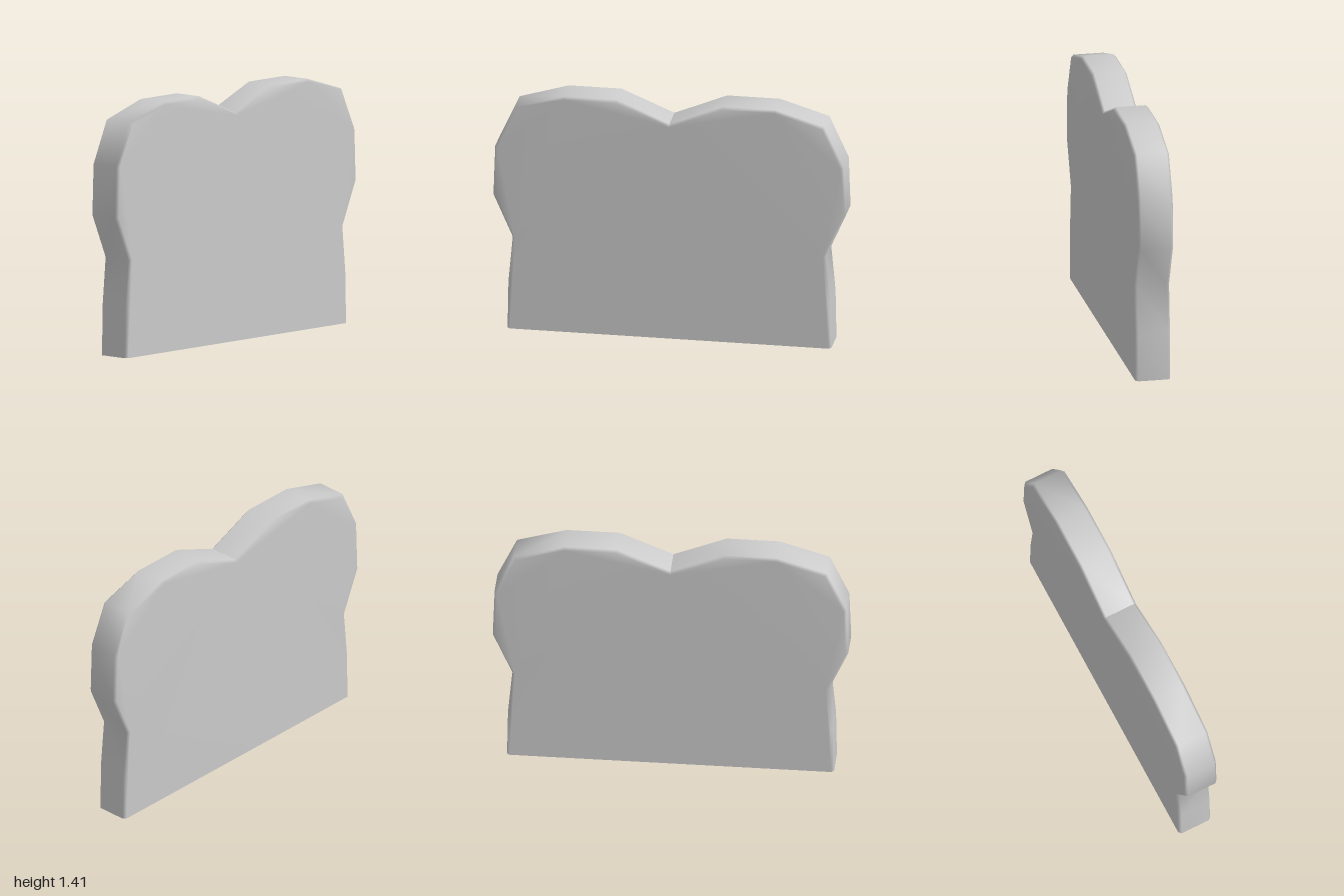
import * as THREE from 'three';

const DEPTH = 0.1;    // half thickness
const BEVEL = 0.015;

// Half outline, from the bottom corner up to the central notch
const OUTLINE = [
  [0.92, 0], [0.915, 0.28], [0.89, 0.55], [1.0, 0.8], [0.99, 1.09],
  [0.88, 1.33], [0.6, 1.415], [0.3, 1.415], [0, 1.29],
].map(([x, y]) => new THREE.Vector2(x, y));

// Move the outline inwards; its ends slide along the floor and the centre line
function inset(points, d) {
  const normal = (a, b) => new THREE.Vector2(b.y - a.y, a.x - b.x).normalize();
  return points.map((p, i) => {
    if (i === 0) return new THREE.Vector2(p.x - d, p.y);
    const before = normal(points[i - 1], p);
    if (i === points.length - 1) return new THREE.Vector2(p.x, p.y - d / before.y);
    const miter = before.clone().add(normal(p, points[i + 1])).normalize();
    return p.clone().addScaledVector(miter, -d / miter.dot(before));
  });
}

// One half of the slab, open underneath; side is 1 (left) or -1 (right)
function halfSlab(side) {
  const inner = inset(OUTLINE, BEVEL);
  const rings = [
    [inner, DEPTH], [OUTLINE, DEPTH - BEVEL],
    [OUTLINE, BEVEL - DEPTH], [inner, -DEPTH],
  ];
  const n = OUTLINE.length;
  const positions = [];
  const index = [];
  const tri = (a, b, c) => index.push(...(side > 0 ? [a, b, c] : [a, c, b]));

  // Rim and bevels
  rings.forEach(([points, z]) => points.forEach((p) => positions.push(side * p.x, p.y, z)));
  for (let k = 0; k < 3; k++) {
    for (let i = 0; i < n - 1; i++) {
      const a = k * n + i;
      tri(a, a + n, a + 1);
      tri(a + 1, a + n, a + n + 1);
    }
  }

  // Front and back faces, closed at the bottom centre
  positions.push(0, 0, DEPTH, 0, 0, -DEPTH);
  const front = (i) => (i === n ? 4 * n : i);
  const back = (i) => (i === n ? 4 * n + 1 : 3 * n + i);
  const faces = THREE.ShapeUtils.triangulateShape([...inner, new THREE.Vector2(0, 0)], []);
  for (const [a, b, c] of faces) {
    tri(front(a), front(b), front(c));
    tri(back(a), back(c), back(b));
  }

  const geometry = new THREE.BufferGeometry();
  geometry.setAttribute('position', new THREE.Float32BufferAttribute(positions, 3));
  geometry.setIndex(index);
  geometry.computeVertexNormals();
  return geometry;
}

export function createModel() {
  const group = new THREE.Group();
  group.name = 'breadSlice';
  const material = new THREE.MeshStandardMaterial({ color: 0xcccccc, side: THREE.DoubleSide });
  for (const [name, side] of [['leftHalf', 1], ['rightHalf', -1]]) {
    const mesh = new THREE.Mesh(halfSlab(side), material);
    mesh.name = name;
    group.add(mesh);
  }
  return group;
}
